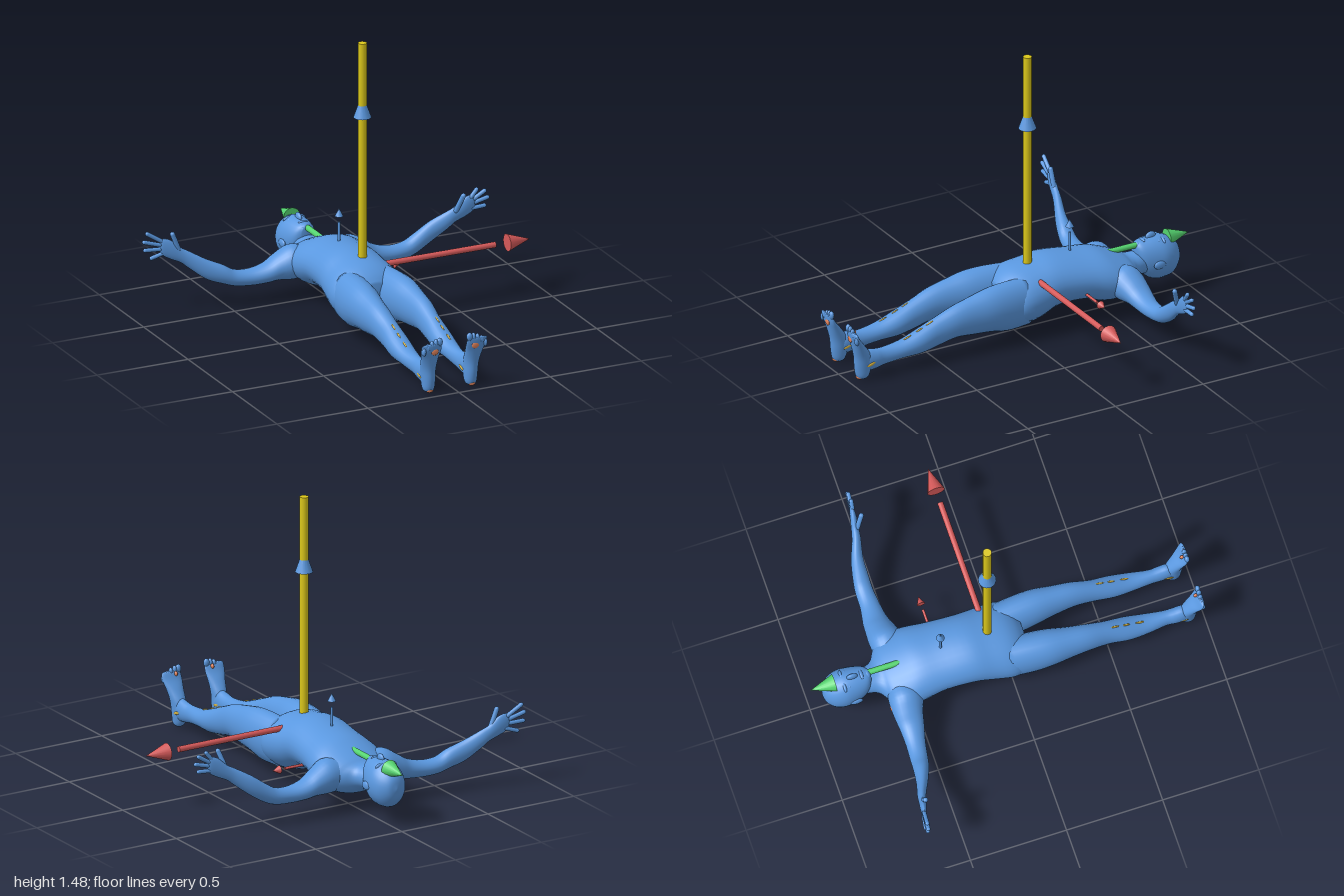
import * as THREE from 'three';

const mat = (name, color) => Object.assign(new THREE.MeshStandardMaterial({ color }), { name });
const V = (x, y, z) => new THREE.Vector3(x, y, z);
const AXES = {
  x: [V(0, 1, 0), V(0, 0, 1), V(1, 0, 0)],
  y: [V(0, 0, 1), V(1, 0, 0), V(0, 1, 0)],
  z: [V(1, 0, 0), V(0, 1, 0), V(0, 0, 1)],
};

// Smooth closed skin over elliptical sections [t, centreU, centreV, radiusU, radiusV] along an axis
function loft(axis, rows, n = 24, steps = 4) {
  const [U, W, T] = AXES[axis];
  const centres = new THREE.CatmullRomCurve3(rows.map(r => V(r[1], r[2], r[0])), false, 'catmullrom');
  const sizes = new THREE.CatmullRomCurve3(rows.map(r => V(r[3], r[4], 0)), false, 'catmullrom');
  const pos = [], idx = [], m = (rows.length - 1) * steps;
  const put = (u, w, t) => pos.push(...V(0, 0, 0).addScaledVector(U, u).addScaledVector(W, w).addScaledVector(T, t).toArray());
  for (let i = 0; i <= m; i++) {
    const c = centres.getPoint(i / m), s = sizes.getPoint(i / m);
    for (let j = 0; j < n; j++) {
      const a = j / n * Math.PI * 2;
      put(c.x + Math.cos(a) * s.x, c.y + Math.sin(a) * s.y, c.z);
    }
  }
  const first = rows[0], last = rows[rows.length - 1], flip = last[0] < first[0];
  put(first[1], first[2], first[0]);
  put(last[1], last[2], last[0]);
  const tri = (a, b, c) => flip ? idx.push(a, c, b) : idx.push(a, b, c);
  const e0 = (m + 1) * n, e1 = e0 + 1;
  for (let j = 0; j < n; j++) {
    const k = (j + 1) % n;
    for (let i = 0; i < m; i++) {
      tri(i * n + j, i * n + k, (i + 1) * n + k);
      tri(i * n + j, (i + 1) * n + k, (i + 1) * n + j);
    }
    tri(e0, k, j);
    tri(e1, m * n + j, m * n + k);
  }
  const g = new THREE.BufferGeometry();
  g.setAttribute('position', new THREE.Float32BufferAttribute(pos, 3));
  g.setIndex(idx);
  g.computeVertexNormals();
  return g;
}

export function createModel() {
  const root = new THREE.Group();
  const blue = mat('blue', 0x5a98e0), red = mat('red', 0xd65a5a), green = mat('green', 0x55d470);
  const yellow = mat('yellow', 0xdcc81a), orange = mat('orange', 0xe0835c), ochre = mat('ochre', 0xd2b040);

  const add = (name, geo, m, parent = root) => {
    const mesh = new THREE.Mesh(geo, m);
    mesh.name = name;
    parent.add(mesh);
    return mesh;
  };
  const blob = (name, p, s, m = blue, parent = root) => {
    const o = add(name, new THREE.SphereGeometry(1, 16, 10), m, parent);
    o.position.set(...p);
    o.scale.set(...s);
    return o;
  };
  // Places a y-aligned geometry between two points
  const between = (name, geo, a, b, m, parent) => {
    const o = add(name, geo, m, parent);
    o.position.copy(a).add(b).multiplyScalar(0.5);
    o.quaternion.setFromUnitVectors(V(0, 1, 0), b.clone().sub(a).normalize());
    return o;
  };
  const finger = (name, a, b, r, parent) =>
    between(name, new THREE.CapsuleGeometry(r, Math.max(0.001, a.distanceTo(b) - r), 4, 10), a, b, blue, parent);

  // Torso with neck
  add('torso', loft('z', [
    [-0.78, -0.01, 0.185, 0.055, 0.06], [-0.71, -0.008, 0.195, 0.066, 0.06],
    [-0.665, -0.005, 0.19, 0.085, 0.065], [-0.635, 0, 0.185, 0.13, 0.075],
    [-0.6, 0, 0.185, 0.18, 0.095], [-0.52, 0, 0.195, 0.197, 0.12],
    [-0.45, 0, 0.207, 0.193, 0.132], [-0.35, -0.005, 0.228, 0.18, 0.123],
    [-0.2, -0.015, 0.235, 0.178, 0.134], [-0.1, -0.015, 0.21, 0.188, 0.147],
    [0, -0.017, 0.193, 0.198, 0.147], [0.06, -0.017, 0.19, 0.175, 0.12],
    [0.1, -0.017, 0.2, 0.09, 0.07],
  ], 32), blue);

  // Head and face
  const head = new THREE.Group();
  head.name = 'head';
  root.add(head);
  add('skull', loft('z', [
    [-0.94, -0.01, 0.2, 0.006, 0.008], [-0.928, -0.01, 0.2, 0.045, 0.058],
    [-0.89, -0.01, 0.197, 0.078, 0.098], [-0.84, -0.01, 0.203, 0.092, 0.115],
    [-0.79, -0.01, 0.206, 0.088, 0.115], [-0.74, -0.01, 0.22, 0.074, 0.096],
    [-0.71, -0.01, 0.24, 0.054, 0.071], [-0.692, -0.01, 0.265, 0.025, 0.035],
  ], 28), blue, head);
  blob('nose', [-0.01, 0.32, -0.785], [0.013, 0.024, 0.03], blue, head).rotation.x = 0.25;
  blob('mouth', [-0.01, 0.311, -0.738], [0.026, 0.009, 0.01], blue, head);
  blob('chin', [-0.01, 0.292, -0.708], [0.026, 0.02, 0.018], blue, head);
  for (const s of [-1, 1]) {
    blob('brow', [-0.01 + s * 0.035, 0.303, -0.835], [0.028, 0.012, 0.009], blue, head).rotation.z = -s * 0.3;
    blob('eye', [-0.01 + s * 0.034, 0.3, -0.812], [0.015, 0.011, 0.009], blue, head);
    blob('ear', [-0.01 + s * 0.088, 0.195, -0.79], [0.011, 0.022, 0.034], blue, head);
  }

  // Arms, curving up to open hands
  const armRows = [
    [0.1, 0.19, 0.08, 0.08], [0.17, 0.19, 0.088, 0.087], [0.24, 0.172, 0.066, 0.073],
    [0.3, 0.15, 0.05, 0.062], [0.38, 0.138, 0.042, 0.05], [0.46, 0.144, 0.042, 0.045],
    [0.52, 0.17, 0.05, 0.041], [0.6, 0.222, 0.053, 0.032], [0.68, 0.275, 0.045, 0.024],
    [0.72, 0.302, 0.04, 0.02], [0.77, 0.335, 0.05, 0.017], [0.81, 0.352, 0.044, 0.012],
    [0.825, 0.355, 0.02, 0.006],
  ];
  const arms = [
    { name: 'left', s: 1, drop: 0,
      z: [-0.55, -0.55, -0.56, -0.565, -0.563, -0.566, -0.563, -0.555, -0.532, -0.525, -0.517, -0.513, -0.512],
      tips: [[0.8, 0.38, 0.835, 0.425], [0.815, 0.37, 0.88, 0.41], [0.82, 0.352, 0.897, 0.372], [0.805, 0.325, 0.88, 0.33]],
      thumb: [0.72, 0.32, 0.75, 0.415], thumbZ: [-0.515, -0.482] },
    { name: 'right', s: -1, drop: 0.02,
      z: [-0.555, -0.555, -0.565, -0.568, -0.577, -0.587, -0.596, -0.617, -0.646, -0.657, -0.668, -0.676, -0.678],
      tips: [[0.81, 0.36, 0.893, 0.413], [0.82, 0.343, 0.91, 0.37], [0.82, 0.322, 0.905, 0.325], [0.8, 0.3, 0.87, 0.277]],
      thumb: [0.73, 0.31, 0.768, 0.405], thumbZ: [-0.655, -0.655] },
  ];
  for (const { name, s, drop, z, tips, thumb, thumbZ } of arms) {
    const arm = new THREE.Group();
    arm.name = name + 'Arm';
    root.add(arm);
    add('armAndPalm', loft('x', armRows.map(([x, y, ry, rz], i) => [s * x, y - (i > 6 ? drop : 0), z[i], ry, rz])), blue, arm);
    const zb = z[12];
    for (const [x0, y0, x1, y1] of tips)
      finger('finger', V(s * x0, y0, zb), V(s * x1, y1, zb - (s < 0 ? 0.01 : -0.004)), 0.011, arm);
    finger('thumb', V(s * thumb[0], thumb[1], thumbZ[0]), V(s * thumb[2], thumb[3], thumbZ[1]), 0.013, arm);
  }

  // Legs and feet, mirrored about the slightly shifted middle of the body
  const mid = -0.016;
  for (const s of [1, -1]) {
    const leg = new THREE.Group(), k = s > 0 ? 1 : 1.09;
    leg.name = s > 0 ? 'leftLeg' : 'rightLeg';
    root.add(leg);
    const X = x => mid + s * (x - mid);
    add('legShaft', loft('z', [
      [-0.02, 0.08, 0.19, 0.085, 0.125], [0.1, 0.09, 0.192, 0.087, 0.128], [0.2, 0.097, 0.2, 0.082, 0.115],
      [0.3, 0.101, 0.195, 0.068, 0.1], [0.4, 0.103, 0.187, 0.058, 0.084], [0.5, 0.1, 0.157, 0.051, 0.075],
      [0.6, 0.1, 0.128, 0.055, 0.063], [0.7, 0.1, 0.11, 0.047, 0.046], [0.8, 0.098, 0.098, 0.034, 0.046],
      [0.85, 0.1, 0.095, 0.035, 0.052], [0.9, 0.1, 0.095, 0.034, 0.058], [0.935, 0.1, 0.08, 0.028, 0.04],
    ].map(([z, x, y, rx, ry]) => [z, X(x), y, rx * k, ry])), blue, leg);
    add('foot', loft('y', [
      [0.003, 0.922, 0.1, 0.012, 0.012], [0.02, 0.922, 0.1, 0.034, 0.029], [0.07, 0.92, 0.1, 0.046, 0.035],
      [0.13, 0.925, 0.102, 0.045, 0.038], [0.19, 0.95, 0.105, 0.032, 0.046], [0.235, 0.972, 0.108, 0.02, 0.055],
      [0.268, 0.983, 0.109, 0.012, 0.052], [0.275, 0.985, 0.109, 0.005, 0.03],
    ].map(([y, z, x, rz, rx]) => [y, z, X(x), rz, rx])), blue, leg);
    for (let i = 0; i < 5; i++)
      blob('toe', [X(0.066 + i * 0.0215), 0.279 - i * i * 0.0025, 0.983], [i ? 0.011 : 0.016, 0.022, 0.013], blue, leg);

    // Coloured contact spots and strips
    blob('heelSpot', [X(0.1), 0.018, 0.934], [0.02, 0.016, 0.024], orange, leg);
    blob('ballSpot', [X(0.095), 0.233, 0.99], [0.02, 0.017, 0.005], orange, leg);
    blob('toeSpot', [X(0.09), 0.262, 0.965], [0.008, 0.012, 0.012], orange, leg);
    for (const [z, y, len] of [[0.54, 0.213, 0.025], [0.6, 0.19, 0.02], [0.67, 0.164, 0.025]])
      blob('shinStrip', [X(0.104), y, z], [0.005, 0.005, len], ochre, leg).rotation.x = 0.36;
    for (const side of [-1, 1])
      blob('ankleStrip', [X(0.1 + side * 0.034), 0.085, 0.89], [0.005, 0.008, 0.025], ochre, leg).rotation.x = 0.3;
  }
  blob('shoulderSpot', [-0.185, 0.19, -0.632], [0.022, 0.015, 0.012], orange);

  // Axis arrows: rods with separate cone tips
  const arrow = (name, o, dir, m, from, to, base, tip, rodR, coneR) => {
    const g = new THREE.Group();
    g.name = name;
    root.add(g);
    const at = d => o.clone().addScaledVector(dir, d);
    between('rod', new THREE.CylinderGeometry(rodR, rodR, to - from, 16), at(from), at(to), m, g);
    between('tip', new THREE.ConeGeometry(coneR, tip - base, 16), at(base), at(tip), m, g);
  };
  const origin = V(-0.004, 0.293, -0.08), small = V(-0.012, 0.18, -0.326);
  const side = V(1, 0, 0), up = V(0, 1, 0), back = V(0, 0, -1);
  const big = [0.1, 0.73, 0.795, 0.92, 0.015, 0.045], little = [0.04, 0.272, 0.303, 0.345, 0.007, 0.021];
  arrow('sideArrow', origin, side, red, ...big);
  arrow('upArrow', origin, up, blue, ...big);
  arrow('headArrow', origin, back, green, ...big);
  arrow('smallSideArrow', small, side, red, ...little);
  arrow('smallUpArrow', small, up, blue, ...little);
  arrow('smallHeadArrow', small, back, green, ...little);

  // Tall upright pole
  between('pole', new THREE.CylinderGeometry(0.022, 0.022, 1.19, 16), V(-0.004, 0.29, -0.08), V(-0.004, 1.48, -0.08), yellow);
  return root;
}
